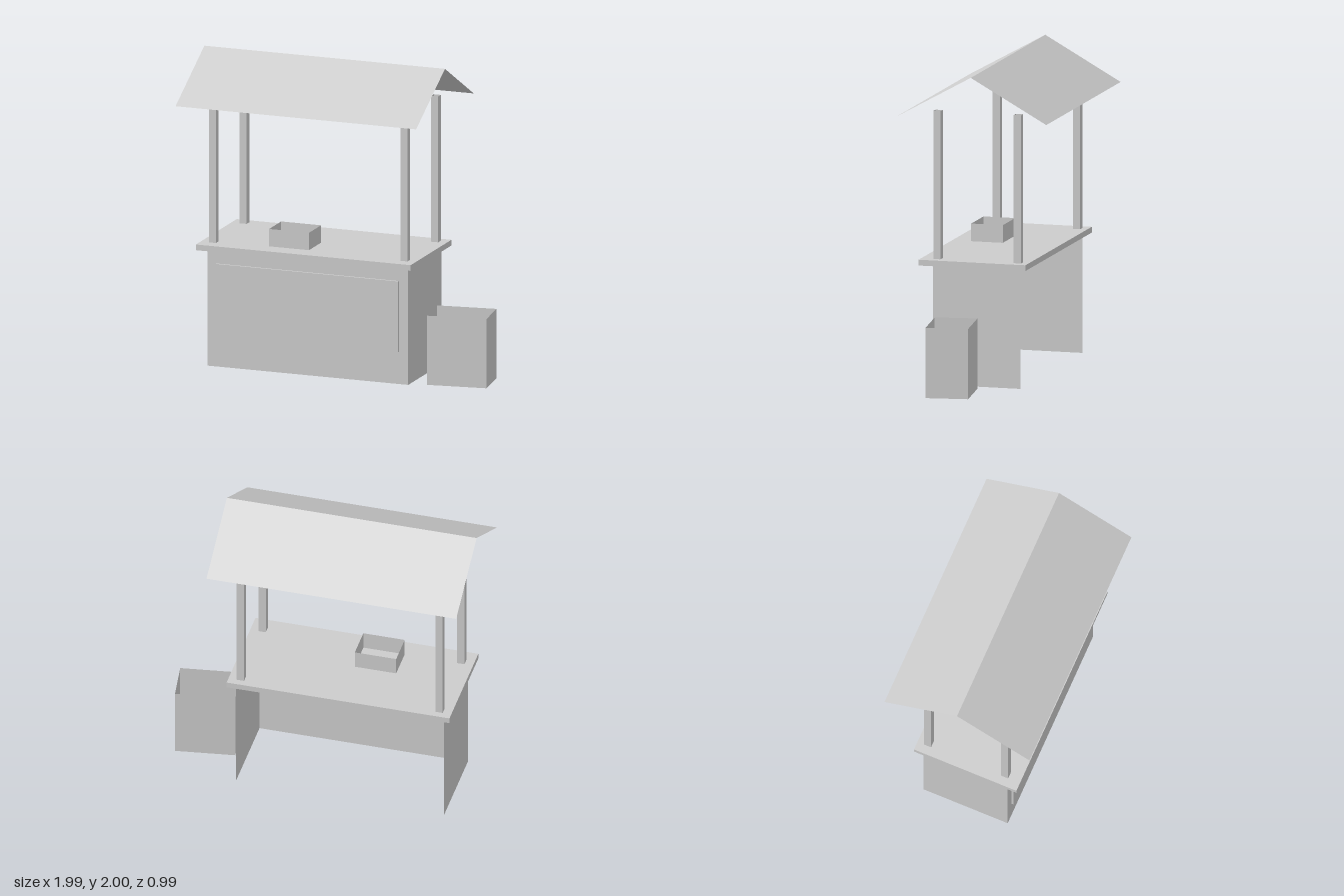
import * as THREE from 'three';

const paint = new THREE.MeshStandardMaterial({ color: 0xcccccc, side: THREE.DoubleSide });
paint.name = 'plain grey';

// Box between two corners, keeping only the listed sides
// (0 +x, 1 -x, 2 top, 3 bottom, 4 front, 5 back).
function box(name, [x0, y0, z0], [x1, y1, z1], sides = [0, 1, 2, 3, 4, 5]) {
  const geo = new THREE.BoxGeometry(x1 - x0, y1 - y0, z1 - z0);
  const index = Array.from(geo.index.array);
  geo.setIndex(sides.flatMap((s) => index.slice(s * 6, s * 6 + 6)));
  geo.clearGroups();
  const mesh = new THREE.Mesh(geo, paint);
  mesh.name = name;
  mesh.position.set((x0 + x1) / 2, (y0 + y1) / 2, (z0 + z1) / 2);
  return mesh;
}

const WALLS = [0, 1, 4, 5];

export function createModel() {
  const stall = new THREE.Group();
  stall.name = 'marketStall';

  // Counter: thin sheet walls, open at the back
  stall.add(
    box('counterBase', [-0.86, 0, -0.287], [0.5, 0.765, 0.29], [0, 1, 4]),
    box('frontBoard', [-0.8, 0.21, 0.29], [0.437, 0.67, 0.303]),
    box('counterTop', [-0.907, 0.765, -0.333], [0.548, 0.802, 0.37])
  );

  // Four hollow posts
  for (const [side, x] of [['left', 0.446], ['right', -0.851]]) {
    for (const [end, z] of [['Front', 0.241], ['Back', -0.288]]) {
      stall.add(box(`${side}${end}Post`, [x, 0.8, z], [x + 0.048, 1.75, z + 0.048], WALLS));
    }
  }

  // Gabled sheet roof
  const roof = new THREE.Group();
  roof.name = 'roof';
  const run = 0.497, rise = 0.277;
  for (const s of [1, -1]) {
    const geo = new THREE.PlaneGeometry(1.63, Math.hypot(run, rise));
    geo.rotateX(-Math.PI / 2 + s * Math.atan2(rise, run));
    const slope = new THREE.Mesh(geo, paint);
    slope.name = s > 0 ? 'frontSlope' : 'backSlope';
    slope.position.set(-0.18, 2 - rise / 2, s * run / 2);
    roof.add(slope);
  }
  stall.add(roof);

  // Open tray on the counter
  stall.add(box('tray', [-0.46, 0.802, 0.037], [-0.19, 0.915, 0.245], WALLS));

  // Open bin standing slightly turned beside the counter
  const bin = box('bin', [-0.192, 0, -0.136], [0.192, 0.45, 0.136], WALLS);
  bin.position.set(0.782, 0.225, 0.083);
  bin.rotation.y = 0.14;
  stall.add(bin);

  return stall;
}
